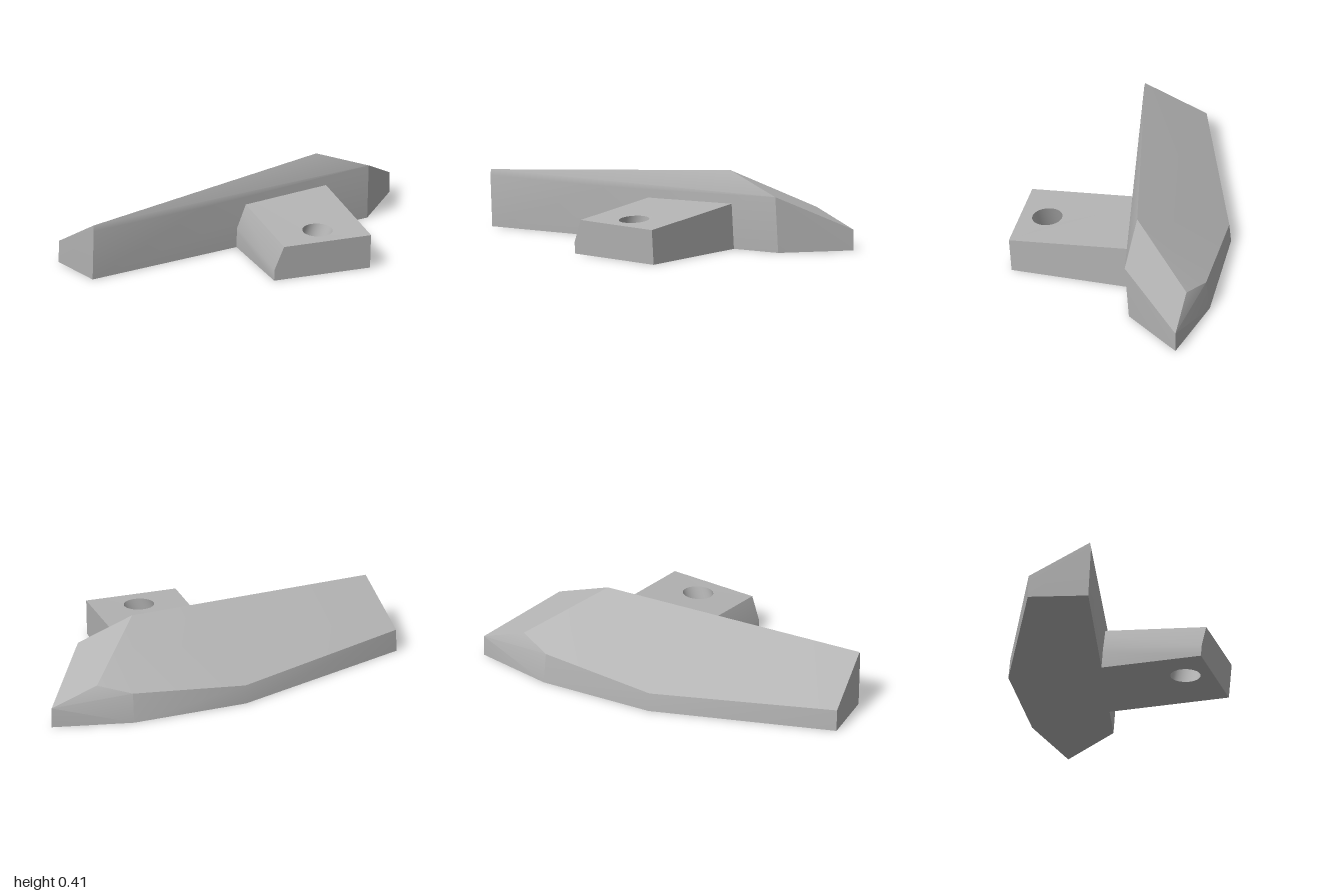
import * as THREE from 'three';
import { ConvexGeometry } from 'three/addons/geometries/ConvexGeometry.js';
import { toCreasedNormals } from 'three/addons/utils/BufferGeometryUtils.js';

// Faceted wing-like bar: hull of its base outline, bevel line and top ridges
function barGeometry() {
  const base = [[-0.93, 0, 0.175], [0.75, 0, -0.163], [1, 0, -0.48], [0.57, 0, -0.555], [-0.06, 0, -0.507], [-1, 0, -0.135]];
  const frontBevel = [[-0.93, 0.275, 0.19], [-0.25, 0.272, 0.057], [0.4, 0.29, -0.073], [0.75, 0.3, -0.14]];
  const ridge = [[-0.93, 0.305, 0.185], [0.45, 0.412, -0.13]];
  const back = [[1, 0.11, -0.48], [0.75, 0.205, -0.475], [0.57, 0.16, -0.535], [-0.06, 0.1, -0.497], [-1, 0.12, -0.13]];
  const points = [...base, ...frontBevel, ...ridge, ...back].map(p => new THREE.Vector3(...p));
  return toCreasedNormals(new ConvexGeometry(points), 0.4);
}

// Sloping tang with one chamfered side and a leaning drilled hole
function tangGeometry() {
  const x0 = -0.05, x1 = 0.49, zBack = -0.2, zFront = 0.54;
  const hole = { x: 0.245, z: 0.41, r: 0.08 };
  const shape = new THREE.Shape();
  shape.moveTo(x0, -zFront);
  shape.lineTo(x1, -zFront);
  shape.lineTo(x1, -zBack);
  shape.lineTo(x0, -zBack);
  shape.closePath();
  shape.holes.push(new THREE.Path().absarc(hole.x, -hole.z, hole.r, 0, Math.PI * 2, true));
  const geo = new THREE.ExtrudeGeometry(shape, { depth: 1, steps: 2, bevelEnabled: false, curveSegments: 16 });
  geo.rotateX(-Math.PI / 2);

  // Level 0 is the base, 0.5 the foot of the chamfer and 1 the sloping top
  const pos = geo.attributes.position;
  for (let i = 0; i < pos.count; i++) {
    let x = pos.getX(i), z = pos.getZ(i);
    const level = pos.getY(i);
    const top = 0.234 - 0.088 * z;
    const y = level < 0.25 ? 0 : level < 0.75 ? top - 0.125 : top;
    const rise = y / top;
    if (Math.hypot(x - hole.x, z - hole.z) < hole.r + 0.01) {
      x -= 0.08 * (1 - rise);
      z -= 0.015 * (1 - rise);
    } else {
      if (x < 0 && level > 0.75) x = 0;
      if (z > 0.5) z += 0.015 * rise;
    }
    pos.setXYZ(i, x, y, z);
  }
  return toCreasedNormals(geo.index ? geo.toNonIndexed() : geo, 0.4);
}

export function createModel() {
  const group = new THREE.Group();
  group.name = 'wedgeBracket';
  const grey = new THREE.MeshStandardMaterial({ color: 0xb4b4b4 });
  grey.name = 'plain grey';

  const add = (name, geometry) => {
    const mesh = new THREE.Mesh(geometry, grey);
    mesh.name = name;
    group.add(mesh);
  };
  add('facetedBar', barGeometry());
  add('drilledTang', tangGeometry());
  return group;
}
